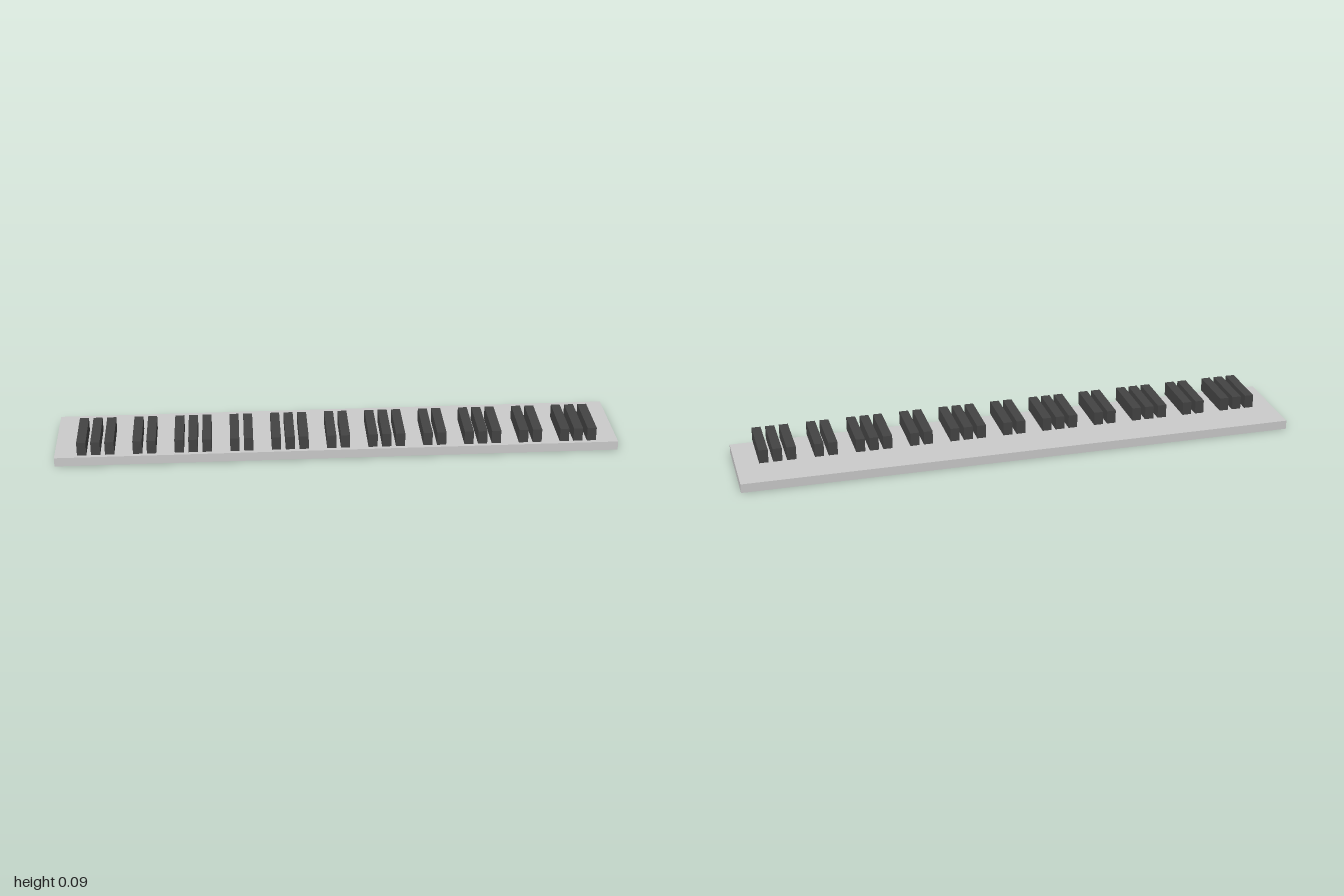
import * as THREE from 'three';

const U = 2 / 123;        // base unit; one white key is three units wide
const OCTAVE = 21 * U;    // seven white keys

export function createModel() {
  const model = new THREE.Group();
  model.name = 'keyboard';

  const whiteMaterial = new THREE.MeshStandardMaterial({ color: 0xcccccc });
  const blackMaterial = new THREE.MeshStandardMaterial({ color: 0x444444 });

  // One flat slab for the white keys
  const slab = new THREE.Mesh(new THREE.BoxGeometry(123 * U, 2 * U, 20 * U), whiteMaterial);
  slab.name = 'whiteKeySlab';
  slab.position.y = U;
  model.add(slab);

  // Black keys hover just above the slab, flush with its front edge
  const blackKeys = new THREE.Group();
  blackKeys.name = 'blackKeys';
  model.add(blackKeys);
  const keyGeometry = new THREE.BoxGeometry(2 * U, 3 * U, 12 * U);

  function addKeyGroup(centre, count) {
    for (let i = 0; i < count; i++) {
      const key = new THREE.Mesh(keyGeometry, blackMaterial);
      key.name = 'blackKey';
      key.position.set(centre + (i - (count - 1) / 2) * 3 * U, 4 * U, 4 * U);
      blackKeys.add(key);
    }
  }

  // Alternating groups of three and two, half an octave apart
  for (let g = -5; g <= 5; g++) addKeyGroup(g * OCTAVE / 2, g % 2 === 0 ? 2 : 3);

  return model;
}
